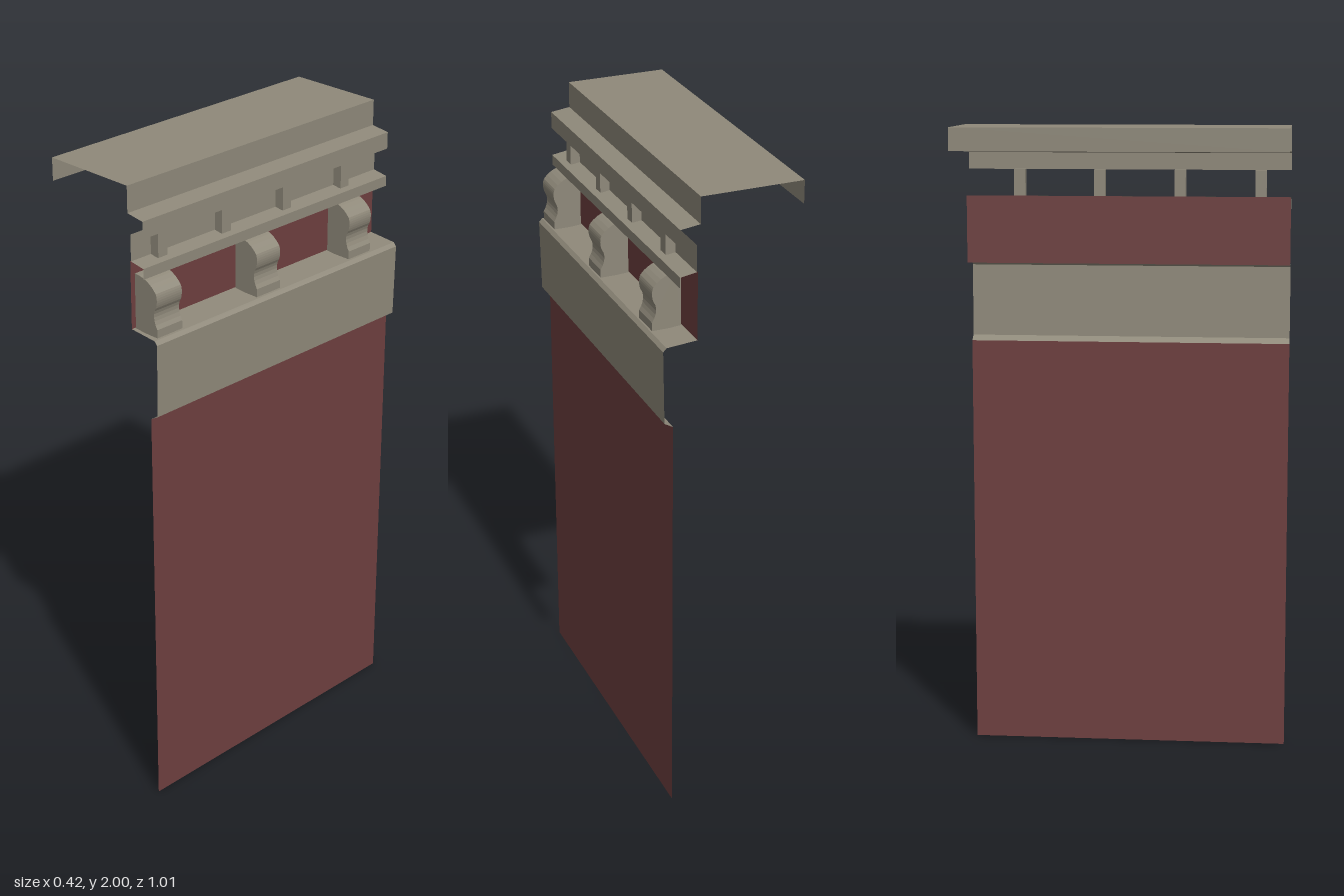
import * as THREE from 'three';

const HALF = 0.505; // half the length of the run along z

// Sweeps an open profile of [x, y] points along z, with flat faces.
function sweep(profile) {
  const pos = [];
  for (let i = 0; i < profile.length - 1; i++) {
    const [ax, ay] = profile[i];
    const [bx, by] = profile[i + 1];
    pos.push(ax, ay, HALF, bx, by, HALF, bx, by, -HALF);
    pos.push(ax, ay, HALF, bx, by, -HALF, ax, ay, -HALF);
  }
  const geo = new THREE.BufferGeometry();
  geo.setAttribute('position', new THREE.Float32BufferAttribute(pos, 3));
  geo.computeVertexNormals();
  return geo;
}

export function createModel() {
  const group = new THREE.Group();
  const stone = new THREE.MeshStandardMaterial({ name: 'stone', color: 0x8f897a, side: THREE.DoubleSide });
  const brick = new THREE.MeshStandardMaterial({ name: 'brick', color: 0x6e3f3f, side: THREE.DoubleSide });
  const stoneFront = new THREE.MeshStandardMaterial({ name: 'stoneFront', color: 0x8f897a });

  function add(name, geo, mat, z = 0) {
    const mesh = new THREE.Mesh(geo, mat);
    mesh.name = name;
    mesh.position.z = z;
    group.add(mesh);
  }

  // Brick faces
  add('wall', sweep([[0.18, 1.315], [0.18, 0]]), brick);
  add('bracketPanel', sweep([[0.107, 1.78], [0.107, 1.57]]), brick);

  // Cap with its stepped fascia
  add('roofCap', sweep([[-0.21, 1.93], [-0.21, 2], [0.1, 2], [0.1, 1.92], [0.16, 1.912], [0.16, 1.86]]), stone);
  add('dentilBand', sweep([[0.11, 1.86], [0.11, 1.78]]), stoneFront);
  add('lowerMoulding', sweep([[0.11, 1.78], [0.16, 1.772], [0.16, 1.74]]), stone);

  // Frieze below the brackets
  add('frieze', sweep([[0.107, 1.573], [0.2, 1.566], [0.21, 1.555], [0.206, 1.33], [0.18, 1.315]]), stone);

  // Small dentils
  for (const z of [0.412, 0.162, -0.088, -0.338]) {
    const geo = new THREE.BoxGeometry(0.03, 0.085, 0.035);
    geo.translate(0.125, 1.819, 0);
    add('dentil', geo, stone, z);
  }

  // Scrolled brackets
  const shape = new THREE.Shape();
  shape.moveTo(0.11, 1.57);
  shape.lineTo(0.198, 1.57);
  shape.lineTo(0.198, 1.595);
  shape.quadraticCurveTo(0.175, 1.632, 0.194, 1.66);
  shape.quadraticCurveTo(0.202, 1.685, 0.194, 1.703);
  shape.quadraticCurveTo(0.165, 1.74, 0.11, 1.74);
  shape.closePath();
  for (const z of [0.396, 0, -0.396]) {
    add('bracket', new THREE.ExtrudeGeometry(shape, { depth: 0.096, bevelEnabled: false, curveSegments: 6 }), stone, z);
  }
  return group;
}
